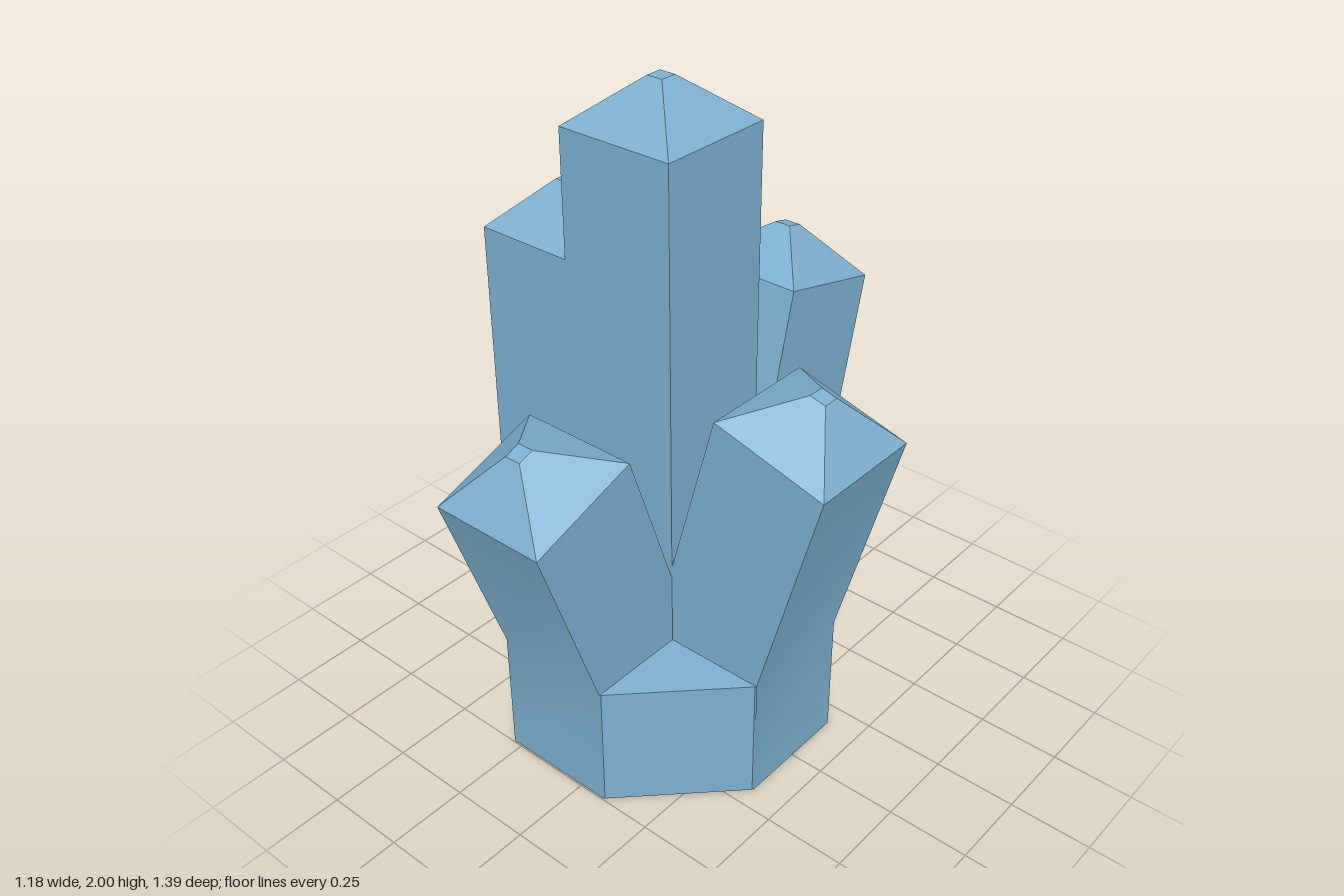
import * as THREE from 'three';
import { toCreasedNormals, mergeGeometries } from 'three/addons/utils/BufferGeometryUtils.js';

const HALF = 0.183;   // half width of every crystal
const REACH = 0.4925; // distance from the axis to the base's flat sides
const BASE_H = 0.4;
const CREASE = 0.5;

const material = new THREE.MeshStandardMaterial({ color: 0x7cb0d0 });

// Eight corners of an octagon: flat sides at distance a, each 2b wide
function octagon(a, b) {
  const corners = [[a, -b], [a, b], [b, a], [-b, a], [-a, b], [-a, -b], [-b, -a], [b, -a]];
  return corners.map(([x, y]) => new THREE.Vector2(x, y));
}

// Horizontal slab of the base between two heights, with an optional hole
function slab(y0, y1, hole) {
  const shape = new THREE.Shape(octagon(REACH - 0.003, HALF + 0.003));
  if (hole) shape.holes.push(hole);
  const geo = new THREE.ExtrudeGeometry(shape, { depth: y1 - y0, bevelEnabled: false, curveSegments: 24 });
  return geo.rotateX(-Math.PI / 2).translate(0, y0, 0);
}

// Four-sided crystal leaning along local +x, ending in a blunt pyramid.
// foot: outer distance at the base top; outer, inner: shoulder points [distance, y]
function crystal(name, angle, foot, outer, inner, skirt = true) {
  const [ro, yo] = outer, [ri, yi] = inner;
  const slope = (ro - foot) / (yo - BASE_H);
  const ring = (o, i, w) => [
    [o[0], o[1], -w], [o[0], o[1], w], [i[0], i[1], w], [i[0], i[1], -w],
  ];
  // Tip square, lifted along the shoulder's normal
  const len = Math.hypot(ro - ri, yi - yo);
  const c = (ro - ri) / len, s = (yi - yo) / len;
  const tx = (ro + ri) / 2 + 0.127 * s, ty = (yo + yi) / 2 + 0.127 * c, t = 0.025;
  const rings = [
    ring([foot, BASE_H], [ri - (yi - BASE_H) * slope, BASE_H], HALF),
    ring(outer, inner, HALF),
    ring([tx + t * c, ty - t * s], [tx - t * c, ty + t * s], t),
  ];
  const pos = [];
  const quad = (p, q, r, u) => pos.push(...p, ...q, ...r, ...p, ...r, ...u);
  for (let k = 0; k < 2; k++) {
    for (let i = 0; i < 4; i++) {
      const j = (i + 1) % 4;
      quad(rings[k][j], rings[k][i], rings[k + 1][i], rings[k + 1][j]);
    }
  }
  quad(rings[2][3], rings[2][2], rings[2][1], rings[2][0]);
  // Upright panel that carries the outer face down to the ground
  if (skirt) {
    const [a, b] = rings[0];
    quad([b[0], 0, b[2]], [a[0], 0, a[2]], a, b);
  }
  const geo = new THREE.BufferGeometry();
  geo.setAttribute('position', new THREE.Float32BufferAttribute(pos, 3));
  const mesh = new THREE.Mesh(toCreasedNormals(geo, CREASE), material);
  mesh.name = name;
  mesh.rotation.y = angle;
  return mesh;
}

export function createModel() {
  const model = new THREE.Group();
  model.name = 'crystalCluster';
  const cluster = new THREE.Group();
  cluster.name = 'cluster';
  cluster.position.set(-0.0975, 0, 0.0035);
  model.add(cluster);

  // Octagonal base, hollowed from below by an octagonal recess and a round socket
  const recess = new THREE.Path(octagon(0.29, 0.18));
  const socket = new THREE.Path().absarc(0, 0, 0.19, 0, Math.PI * 2);
  const baseGeo = mergeGeometries([
    slab(0, 0.19, recess),
    slab(0.19, 0.38, socket),
    slab(0.38, BASE_H),
  ]);
  const base = new THREE.Mesh(toCreasedNormals(baseGeo, CREASE), material);
  base.name = 'base';
  cluster.add(base);

  // Tall middle crystal, one upright neighbour and three leaning ones
  cluster.add(
    crystal('centreCrystal', 0, HALF, [HALF, 1.875], [-HALF, 1.875], false),
    crystal('rightCrystal', Math.PI, REACH, [REACH, 1.503], [HALF, 1.503]),
    crystal('leftCrystal', 0, REACH, [0.684, 1.11], [0.329, 1.205]),
    crystal('frontCrystal', -Math.PI / 2, REACH, [0.692, 0.98], [0.345, 1.098]),
    crystal('backCrystal', Math.PI / 2, REACH, [0.697, 1.235], [0.342, 1.322]),
  );
  return model;
}
